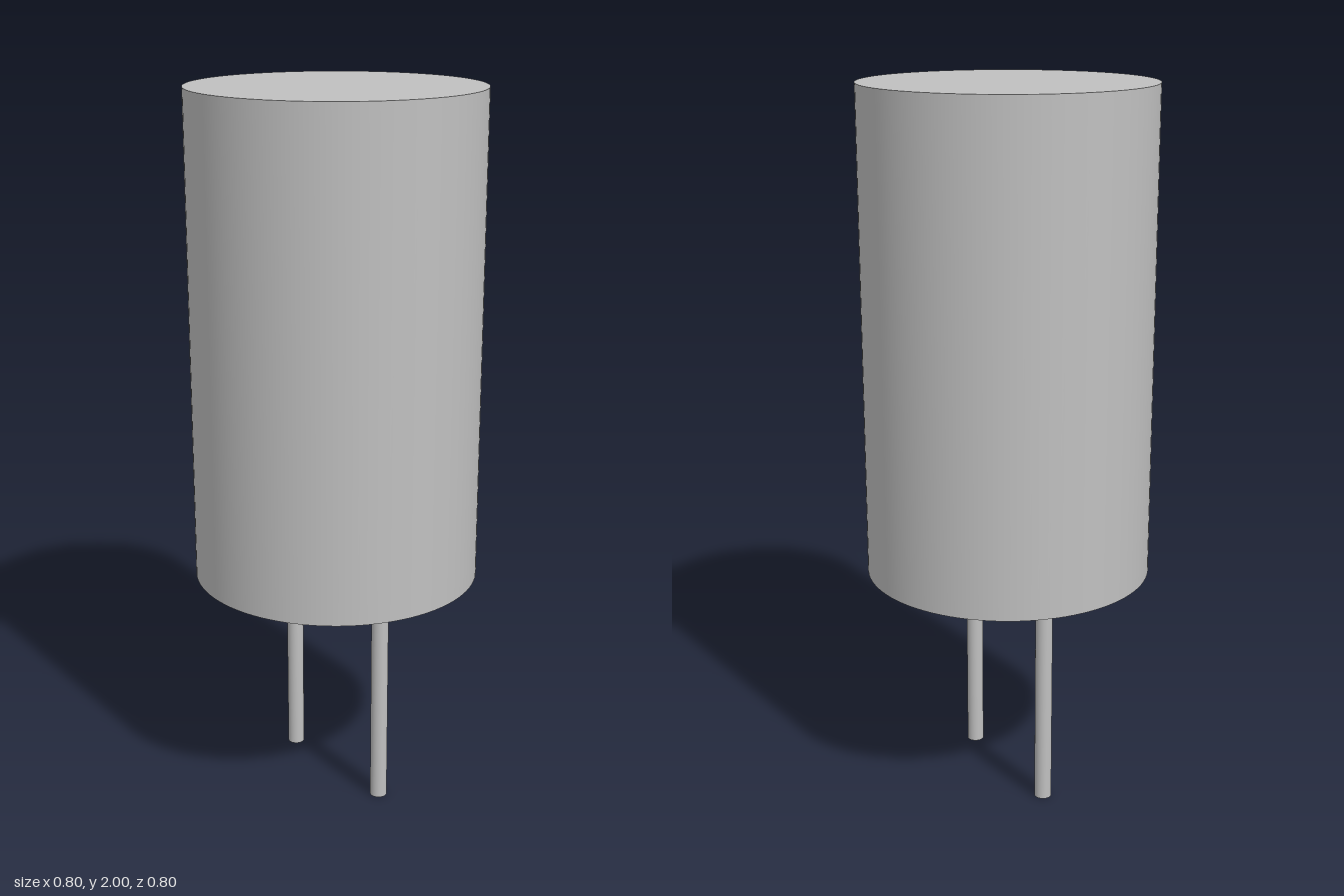
import * as THREE from 'three';

export function createModel() {
  const model = new THREE.Group();
  model.name = 'capacitor';
  const metal = new THREE.MeshStandardMaterial({ color: 0xc0c0c0 });
  metal.name = 'light grey metal';

  // Upright cylinder spanning two heights
  function addCylinder(name, radius, bottom, top, x, sides) {
    const mesh = new THREE.Mesh(new THREE.CylinderGeometry(radius, radius, top - bottom, sides), metal);
    mesh.name = name;
    mesh.position.set(x, (bottom + top) / 2, 0);
    model.add(mesh);
  }

  const bodyBottom = 0.645;
  // Can
  addCylinder('body', 0.4, bodyBottom, 2, 0, 96);
  // Pair of wire leads
  for (const side of [-1, 1]) {
    addCylinder(side > 0 ? 'leftLead' : 'rightLead', 0.024, 0, bodyBottom, side * 0.2, 32);
  }
  return model;
}
